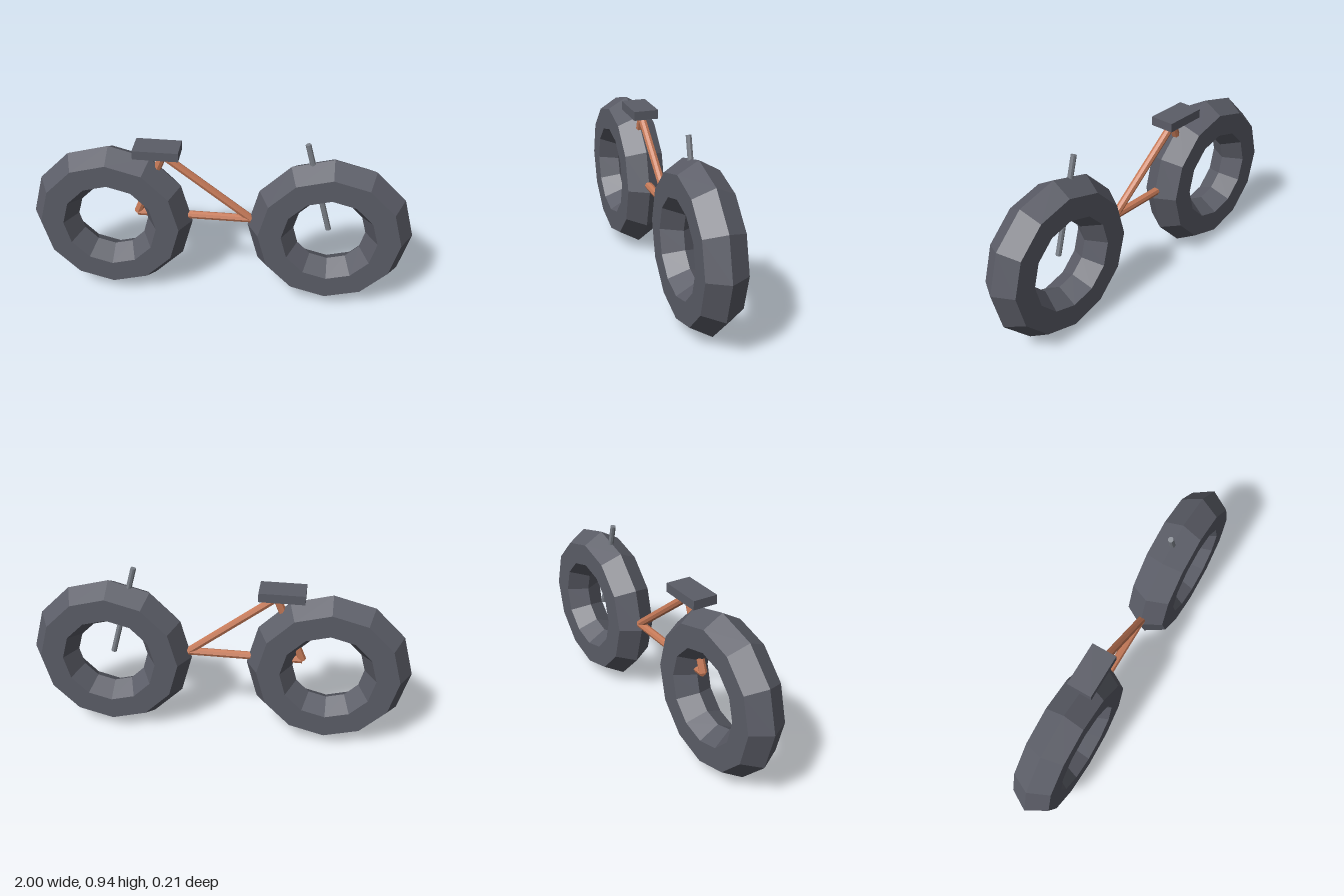
import * as THREE from 'three';

const flat = (name, color) => {
  const m = new THREE.MeshStandardMaterial({ color, flatShading: true });
  m.name = name;
  return m;
};

export function createModel() {
  const bike = new THREE.Group();
  bike.name = 'bicycle';
  const rubber = flat('dark grey', 0x5b5d67);
  const copper = flat('copper', 0xc67a58);
  const steel = flat('steel grey', 0x7b8088);

  const add = (name, geometry, material) => {
    const mesh = new THREE.Mesh(geometry, material);
    mesh.name = name;
    bike.add(mesh);
    return mesh;
  };

  // Straight tube between two points in the x-y plane
  const tube = (name, [x1, y1], [x2, y2], radius, material) => {
    const a = new THREE.Vector3(x1, y1, 0);
    const b = new THREE.Vector3(x2, y2, 0);
    const dir = b.clone().sub(a);
    const mesh = add(name, new THREE.CylinderGeometry(radius, radius, dir.length(), 8), material);
    mesh.position.copy(a).add(b).multiplyScalar(0.5);
    mesh.quaternion.setFromUnitVectors(new THREE.Vector3(0, 1, 0), dir.normalize());
  };

  // Chunky hexagonal-section tyres
  for (const [name, x] of [['rearWheel', -0.573], ['frontWheel', 0.573]]) {
    add(name, new THREE.TorusGeometry(0.307, 0.12, 6, 12), rubber).position.set(x, 0.43, 0);
  }

  // Triangular frame
  const rear = [-0.436, 0.467], top = [-0.292, 0.822], front = [0.163, 0.467];
  tube('bottomTube', rear, front, 0.021, copper);
  tube('seatTube', rear, top, 0.021, copper);
  tube('downTube', top, front, 0.021, copper);

  // Fork stem leaning back from the front hub
  tube('fork', [0.568, 0.433], [0.436, 0.935], 0.0145, steel);

  // Saddle slab
  add('seat', new THREE.BoxGeometry(0.234, 0.048, 0.132), rubber).position.set(-0.32, 0.851, 0);

  return bike;
}
